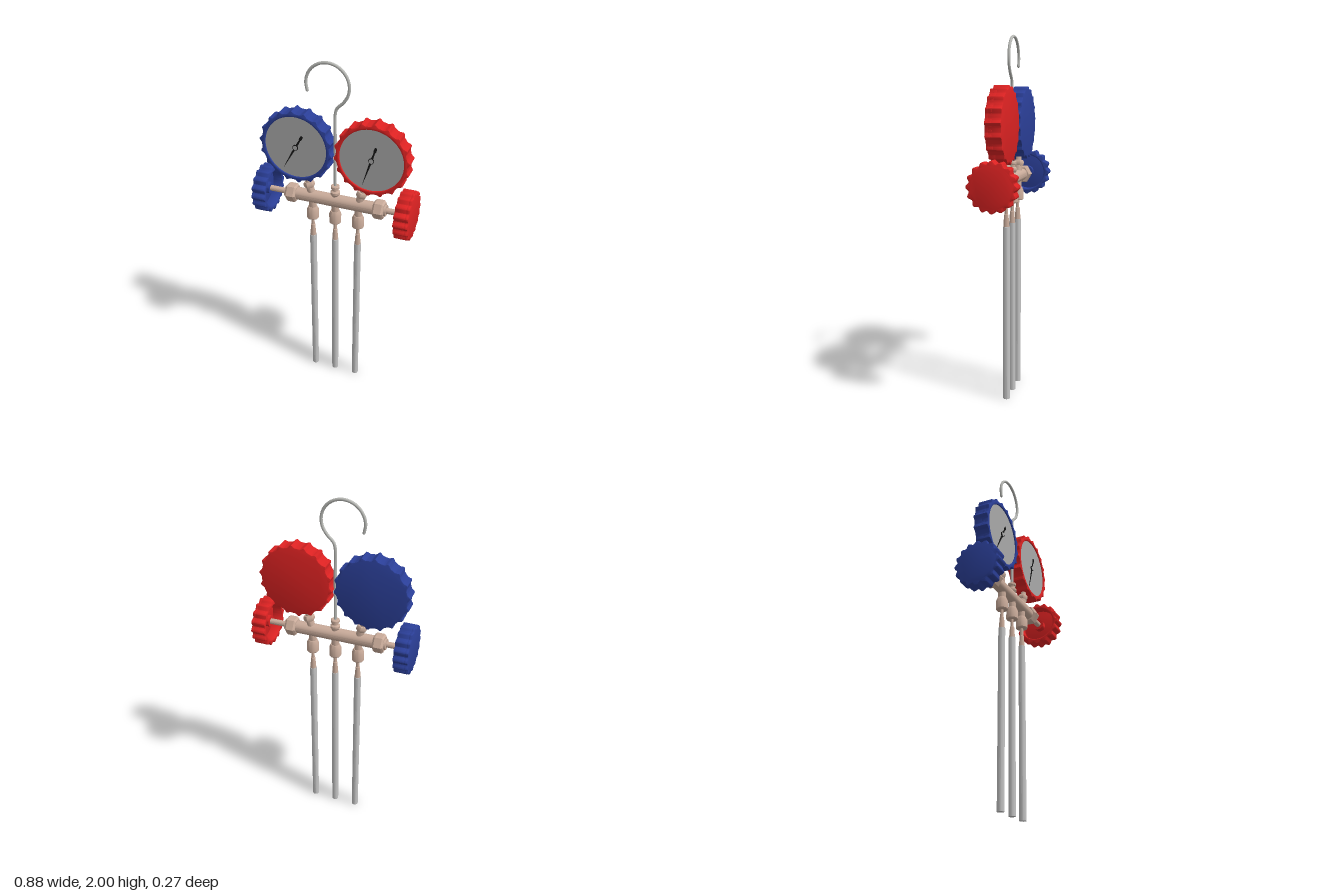
import * as THREE from 'three';
import { toCreasedNormals } from 'three/addons/utils/BufferGeometryUtils.js';

const material = (name, color) => {
  const m = new THREE.MeshStandardMaterial({ color });
  m.name = name;
  return m;
};

export function createModel() {
  const blue = material('blue', 0x2b3f98);
  const red = material('red', 0xdc2222);
  const brass = material('brass', 0xc9ab9a);
  const dialGrey = material('dial grey', 0xa9a9a9);
  const hoseGrey = material('hose grey', 0xc4c4c4);
  const steel = material('steel', 0xb9bab6);
  const black = material('black', 0x151515);

  const model = new THREE.Group();
  model.name = 'gaugeManifold';

  const add = (parent, name, geometry, mat, x = 0, y = 0, z = 0) => {
    const mesh = new THREE.Mesh(geometry, mat);
    mesh.name = name;
    mesh.position.set(x, y, z);
    parent.add(mesh);
    return mesh;
  };

  // Turned part around y: profile is [radius, height] from bottom to top, capped at both ends
  const turned = (profile, sides = 24) => {
    const pts = [[0, profile[0][1]], ...profile, [0, profile.at(-1)[1]]];
    return toCreasedNormals(
      new THREE.LatheGeometry(pts.map(([r, h]) => new THREE.Vector2(r, h)), sides), 0.5);
  };

  // Chamfered hexagonal nut, one corner pointing to +z
  const hexNut = (r, from, to) => turned(
    [[r * 0.84, from], [r, from + 0.01], [r, to - 0.01], [r * 0.84, to]], 6);

  // Round outline with n raised teeth; a higher power makes them narrower
  const toothed = (n, base, height, power, hole) => {
    const pts = [];
    const steps = n * 12;
    for (let i = 0; i < steps; i++) {
      const a = (i / steps) * Math.PI * 2;
      const r = base + height * Math.pow(0.5 + 0.5 * Math.cos(n * a), power);
      pts.push(new THREE.Vector2(r * Math.cos(a), r * Math.sin(a)));
    }
    const shape = new THREE.Shape(pts);
    if (hole) shape.holes.push(new THREE.Path().absarc(0, 0, hole, 0, Math.PI * 2, true));
    return shape;
  };

  // Extrusion between two z values with softened edges
  const slab = (shape, z0, z1, bevel) => {
    const g = new THREE.ExtrudeGeometry(shape, {
      depth: z1 - z0 - 2 * bevel, bevelThickness: bevel, bevelSize: bevel,
      bevelOffset: -bevel, bevelSegments: 2, curveSegments: 48,
    });
    return toCreasedNormals(g.translate(0, 0, z0 + bevel), 0.6);
  };

  // Manifold bar
  const barY = 1.228;
  const bar = add(model, 'manifoldBar', turned(
    [[0.03, -0.225], [0.035, -0.22], [0.035, 0.22], [0.03, 0.225]]), brass, 0, barY);
  bar.rotation.z = -Math.PI / 2;

  // Three hoses with their ports, coupling nuts and ferrules
  const hose = turned([[0.019, 0], [0.019, 0.98]], 20);
  const ferrule = turned([[0.017, 0.975], [0.012, 1.045], [0.009, 1.047], [0.009, 1.095]]);
  const coupling = turned([[0.03, 1.092], [0.033, 1.096], [0.033, 1.145], [0.025, 1.165]]);
  const port = turned([[0.021, 1.16], [0.021, barY]]);
  for (const x of [-0.132, 0, 0.132]) {
    add(model, 'hose', hose, hoseGrey, x);
    add(model, 'hoseFerrule', ferrule, brass, x);
    add(model, 'hoseCoupling', coupling, brass, x);
    add(model, 'hosePort', port, brass, x);
  }

  // Fitting that holds the hook
  add(model, 'hookFitting', turned([
    [0.02, barY], [0.02, 1.262], [0.026, 1.272], [0.026, 1.284], [0.017, 1.292],
    [0.017, 1.302], [0.024, 1.306], [0.024, 1.318], [0.02, 1.322],
  ]), brass);

  // Hanging hook: straight rod, S-bend and open loop
  const path = [[0, 1.3], [0, 1.45], [0, 1.6], [0, 1.73], [0.009, 1.762]];
  for (let deg = -42; deg <= 200; deg += 22) {
    const a = THREE.MathUtils.degToRad(deg);
    path.push([-0.041 + 0.115 * Math.cos(a), 1.877 + 0.115 * Math.sin(a)]);
  }
  const hookCurve = new THREE.CatmullRomCurve3(
    path.map(([x, y]) => new THREE.Vector3(x, y, 0)), false, 'centripetal');
  add(model, 'hook', new THREE.TubeGeometry(hookCurve, 120, 0.008, 12), steel);
  const tip = path.at(-1);
  add(model, 'hookTip', new THREE.SphereGeometry(0.008, 12, 8), steel, tip[0], tip[1]);

  // Pointer outline: long taper downwards, short flared tail upwards
  const pointer = new THREE.Shape([
    [0, -0.152], [0.0055, -0.02], [0.0055, 0.02], [0.0035, 0.052], [0.008, 0.058],
    [0.006, 0.08], [-0.006, 0.08], [-0.008, 0.058], [-0.0035, 0.052], [-0.0055, 0.02],
    [-0.0055, -0.02],
  ].map(([x, y]) => new THREE.Vector2(x, y)));
  const disc = (r, depth, sides) =>
    toCreasedNormals(new THREE.CylinderGeometry(r, r, depth, sides).rotateX(Math.PI / 2), 0.6);

  const caseShape = toothed(18, 0.191, 0.014, 3);
  const rimShape = toothed(18, 0.191, 0.014, 3, 0.172);
  const wheelShape = toothed(16, 0.119, 0.015, 0.9);
  const wheelRim = toothed(16, 0.119, 0.015, 0.9, 0.102);

  for (const side of [-1, 1]) {
    const paint = side < 0 ? blue : red;
    const word = side < 0 ? 'right' : 'left';

    // Gauge: toothed case, raised rim, dial and pointer
    const gauge = new THREE.Group();
    gauge.name = word + 'Gauge';
    gauge.position.set(side * 0.208, 1.525, 0);
    model.add(gauge);
    const tilt = -side * 0.25;
    add(gauge, 'gaugeCase', slab(caseShape, -0.043, 0.03, 0.005), paint).rotation.z = tilt;
    add(gauge, 'gaugeRim', slab(rimShape, 0, 0.043, 0.005), paint).rotation.z = tilt;
    add(gauge, 'dial', disc(0.176, 0.006, 64), dialGrey, 0, 0, 0.032);
    const needle = add(gauge, 'pointer', new THREE.ExtrudeGeometry(
      pointer, { depth: 0.003, bevelEnabled: false }), black, 0, 0, 0.036);
    needle.rotation.z = side < 0 ? -0.51 : -0.3;
    add(gauge, 'pointerHubEdge', disc(0.0155, 0.006, 24), black, 0, 0, 0.038);
    add(gauge, 'pointerHub', disc(0.0125, 0.006, 24), dialGrey, 0, 0, 0.039);

    // Tilted stem from the bar up to the gauge
    const stem = new THREE.Group();
    stem.name = word + 'GaugeStem';
    stem.position.set(side * 0.132, barY, 0);
    stem.rotation.z = tilt;
    model.add(stem);
    add(stem, 'stemNeck', turned([[0.021, 0], [0.021, 0.06], [0.015, 0.064], [0.015, 0.13]]), brass);
    add(stem, 'stemNut', hexNut(0.031, 0.058, 0.09), brass);

    // Valve at the bar end: hexagonal bonnet and spindle
    const valve = new THREE.Group();
    valve.name = word + 'Valve';
    valve.position.y = barY;
    valve.rotation.z = -side * Math.PI / 2;
    model.add(valve);
    add(valve, 'valveNut', hexNut(0.053, 0.22, 0.28), brass);
    add(valve, 'valveGland', turned([[0.032, 0.275], [0.03, 0.29]]), brass);
    add(valve, 'spindle', turned([[0.016, 0.27], [0.016, 0.43]]), brass);

    // Hand wheel: scalloped cup, open towards the bar
    const wheel = new THREE.Group();
    wheel.name = word + 'HandWheel';
    wheel.position.y = barY;
    wheel.rotation.y = side * Math.PI / 2;
    model.add(wheel);
    add(wheel, 'wheelFace', slab(wheelShape, 0.415, 0.44, 0.008), paint);
    add(wheel, 'wheelRim', slab(wheelRim, 0.36, 0.43, 0.006), paint);
    add(wheel, 'wheelHub', disc(0.032, 0.04, 24), paint, 0, 0, 0.4);
  }
  return model;
}
